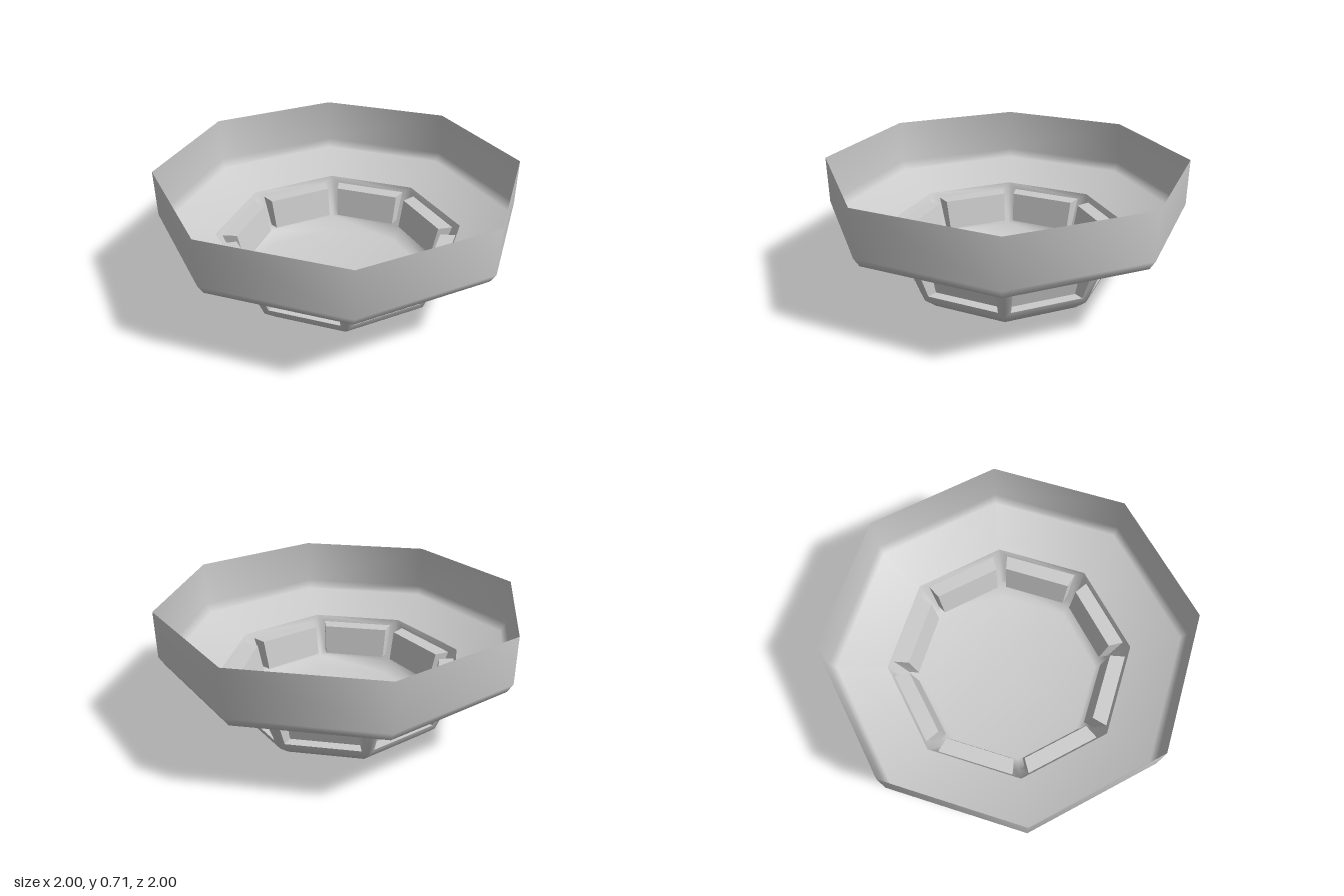
import * as THREE from 'three';
import { mergeVertices } from 'three/addons/utils/BufferGeometryUtils.js';

const SIDES = 8;
const HALF = Math.PI / SIDES;
const material = new THREE.MeshStandardMaterial({ color: 0xcccccc, side: THREE.DoubleSide });

// Point on one side of the octagon: apothem a, height y, offset t along the side.
function sidePoint(theta, a, y, t) {
  const s = Math.sin(theta), c = Math.cos(theta);
  return [a * s + t * c, y, a * c - t * s];
}

// Level edge on a side, as [left, right] when seen from outside.
function edge(theta, a, y, halfWidth) {
  return [sidePoint(theta, a, y, -halfWidth), sidePoint(theta, a, y, halfWidth)];
}

// Full-width edge between two octagon corners of radius r.
function cornerEdge(theta, r, y) {
  return edge(theta, r * Math.cos(HALF), y, r * Math.sin(HALF));
}

function quad(out, a, b, c, d) {
  out.push(...a, ...b, ...c, ...a, ...c, ...d);
}

function toGeometry(positions, smooth) {
  let g = new THREE.BufferGeometry();
  g.setAttribute('position', new THREE.Float32BufferAttribute(positions, 3));
  if (smooth) g = mergeVertices(g, 1e-4);
  g.computeVertexNormals();
  return g;
}

function addMesh(parent, name, geometry) {
  const mesh = new THREE.Mesh(geometry, material);
  mesh.name = name;
  parent.add(mesh);
}

export function createModel() {
  const group = new THREE.Group();
  group.name = 'octagonalBowl';

  // Wide open bowl
  const profile = [[0.70, 0.31], [0.97, 0.40], [1.0, 0.45], [1.0, 0.71]]
    .map(([r, y]) => new THREE.Vector2(r, y));
  addMesh(group, 'upperBowl', new THREE.LatheGeometry(profile, SIDES));

  // Base cup with window openings, and the recessed windows
  const base = [];
  const windows = new THREE.Group();
  windows.name = 'windows';
  for (let i = 0; i < SIDES; i++) {
    const theta = (2 * i + 1) * HALF;
    const [floorL, floorR] = cornerEdge(theta, 0.53, 0);
    const [lowL, lowR] = cornerEdge(theta, 0.60, 0.06);
    const [topL, topR] = cornerEdge(theta, 0.70, 0.31);
    const [openBL, openBR] = edge(theta, 0.569, 0.10, 0.20);
    const [openTL, openTR] = edge(theta, 0.634, 0.275, 0.215);
    const [paneBL, paneBR] = edge(theta, 0.515, 0.10, 0.185);
    const [paneTL, paneTR] = edge(theta, 0.55, 0.275, 0.195);

    // Floor wedge and chamfer
    base.push(0, 0, 0, ...floorR, ...floorL);
    quad(base, floorL, floorR, lowR, lowL);
    // Wall around the opening
    quad(base, lowL, lowR, openBR, openBL);
    quad(base, openTL, openTR, topR, topL);
    quad(base, lowL, openBL, openTL, topL);
    quad(base, openBR, lowR, topR, openTR);

    // Sill, head, two jambs and pane
    const w = [];
    quad(w, openBL, openBR, paneBR, paneBL);
    quad(w, paneTL, paneTR, openTR, openTL);
    quad(w, openBL, paneBL, paneTL, openTL);
    quad(w, paneBR, openBR, openTR, paneTR);
    quad(w, paneBL, paneBR, paneTR, paneTL);
    addMesh(windows, 'window', toGeometry(w, false));
  }
  addMesh(group, 'baseCup', toGeometry(base, true));
  group.add(windows);
  return group;
}
